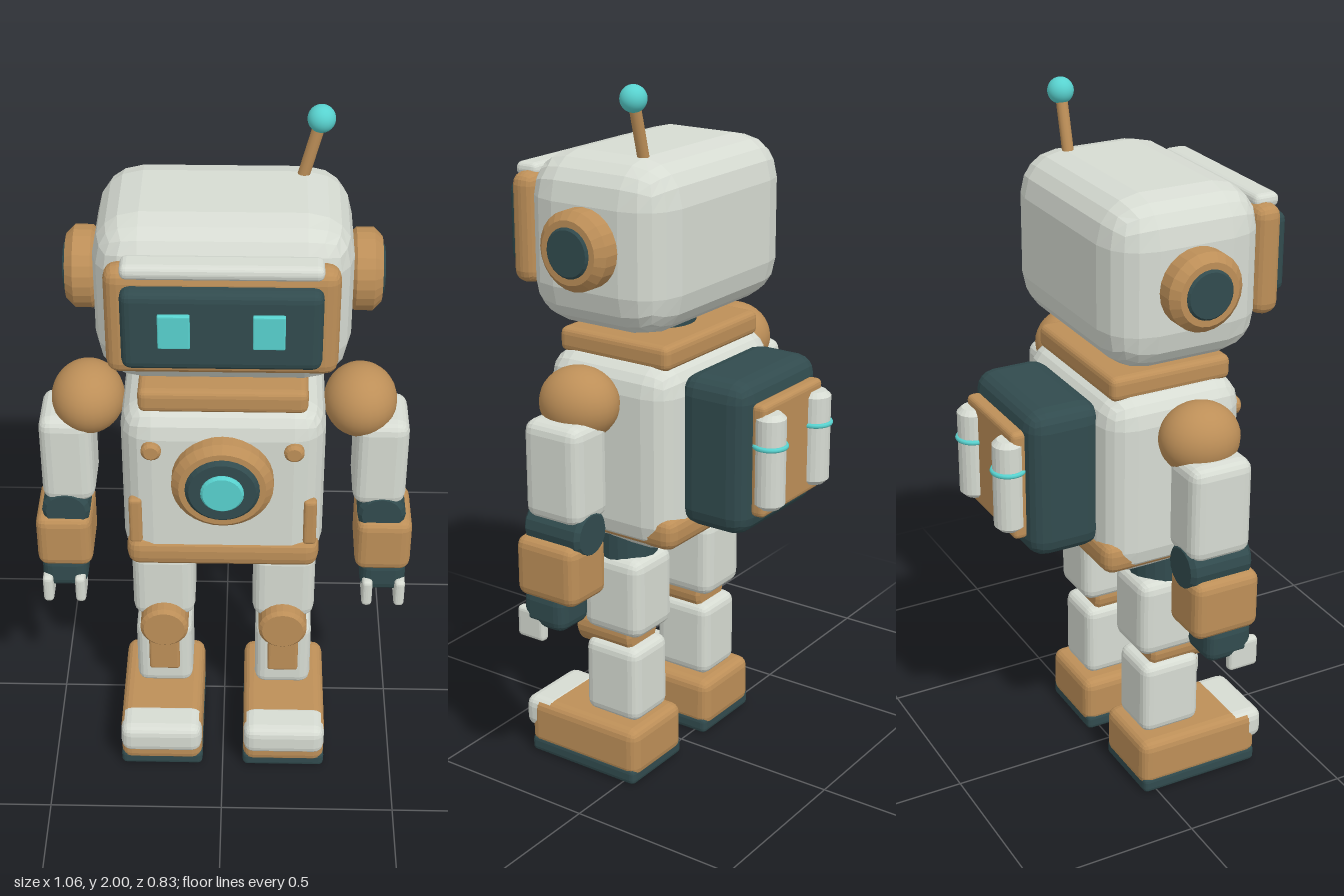
import * as THREE from 'three';
import { RoundedBoxGeometry } from 'three/addons/geometries/RoundedBoxGeometry.js';

const material = (name, color) => {
  const m = new THREE.MeshStandardMaterial({ color });
  m.name = name;
  return m;
};

export function createModel() {
  const robot = new THREE.Group();
  robot.name = 'robot';
  const shell = material('pale shell', 0xd6dbd2);
  const copper = material('copper', 0xbd8f58);
  const dark = material('dark teal', 0x314b4e);
  const glow = material('cyan glow', 0x58d2cf);

  const add = (parent, name, geo, mat, x, y, z) => {
    const mesh = new THREE.Mesh(geo, mat);
    mesh.name = name;
    mesh.position.set(x, y, z);
    parent.add(mesh);
    return mesh;
  };

  // Faceted box with bevelled edges, given by its size and centre
  const box = (parent, name, mat, [w, h, d], [x, y, z], r = 0.02) => {
    const geo = new RoundedBoxGeometry(w, h, d, 2, r);
    geo.computeVertexNormals();
    return add(parent, name, geo, mat, x, y, z);
  };

  // Faceted cylinder with bevelled rims, lying along the chosen axis
  const disc = (parent, name, mat, r, h, axis, [x, y, z], bevel = 0.01, sides = 24) => {
    const a = h / 2;
    const profile = [[0, -a], [r - bevel, -a], [r, bevel - a], [r, a - bevel], [r - bevel, a], [0, a]];
    const geo = new THREE.LatheGeometry(profile.map(p => new THREE.Vector2(...p)), sides).toNonIndexed();
    geo.computeVertexNormals();
    if (axis === 'x') geo.rotateZ(Math.PI / 2);
    if (axis === 'z') geo.rotateX(Math.PI / 2);
    return add(parent, name, geo, mat, x, y, z);
  };

  const ball = (parent, name, mat, r, [x, y, z]) =>
    add(parent, name, new THREE.SphereGeometry(r, 28, 18), mat, x, y, z);

  const group = name => {
    const g = new THREE.Group();
    g.name = name;
    robot.add(g);
    return g;
  };

  // Head with framed screen and brow
  const head = group('head');
  box(head, 'headShell', shell, [0.66, 0.47, 0.455], [0, 1.575, 0.077], 0.12);
  box(head, 'faceFrame', copper, [0.585, 0.305, 0.08], [0, 1.588, 0.322], 0.035);
  box(head, 'screen', dark, [0.5, 0.225, 0.08], [0, 1.59, 0.361], 0.025);
  box(head, 'brow', shell, [0.5, 0.04, 0.075], [0, 1.74, 0.336], 0.018);
  disc(head, 'neck', dark, 0.1, 0.12, 'y', [0, 1.33, 0.07]);

  // Antenna
  const foot = new THREE.Vector3(0.195, 1.78, -0.022);
  const tip = new THREE.Vector3(0.243, 1.964, -0.022);
  add(head, 'antennaRod', new THREE.TubeGeometry(new THREE.LineCurve3(foot, tip), 1, 0.016, 12), copper, 0, 0, 0);
  ball(head, 'antennaBall', glow, 0.036, tip.toArray());

  // Torso with collar, belt and chest lamp
  const torso = group('torso');
  box(torso, 'torsoShell', shell, [0.55, 0.54, 0.425], [0, 0.99, 0.07], 0.085);
  box(torso, 'collar', copper, [0.45, 0.07, 0.365], [0, 1.277, 0.072], 0.02);
  box(torso, 'belt', copper, [0.53, 0.095, 0.44], [0, 0.788, 0.07], 0.035);
  disc(torso, 'chestRing', copper, 0.137, 0.075, 'z', [0, 1.053, 0.297], 0.02, 32);
  disc(torso, 'chestLampRim', dark, 0.1, 0.05, 'z', [0, 1.053, 0.321], 0.01, 32);
  disc(torso, 'chestLamp', glow, 0.058, 0.03, 'z', [0, 1.053, 0.342], 0.006, 28);

  // Backpack with panel
  const pack = group('backpack');
  box(pack, 'packBody', dark, [0.39, 0.435, 0.22], [0, 1.018, -0.225], 0.055);
  box(pack, 'packPanel', copper, [0.3, 0.32, 0.045], [0, 1.02, -0.348], 0.015);

  // Everything that comes in left and right pairs
  for (const s of [1, -1]) {
    const side = s > 0 ? 'left' : 'right';
    box(head, side + 'Eye', glow, [0.08, 0.095, 0.025], [s * 0.117, 1.6, 0.4], 0.004);
    disc(head, side + 'Ear', copper, 0.108, 0.09, 'x', [s * 0.363, 1.583, 0.07], 0.022);
    disc(head, side + 'EarCap', dark, 0.068, 0.04, 'x', [s * 0.395, 1.583, 0.07], 0.006);

    disc(torso, side + 'ChestBolt', copper, 0.027, 0.03, 'z', [s * 0.19, 1.145, 0.285], 0.008, 16);
    box(torso, side + 'ChestStrip', copper, [0.036, 0.15, 0.03], [s * 0.238, 0.9, 0.27], 0.01);

    disc(pack, side + 'Tank', shell, 0.043, 0.27, 'y', [s * 0.115, 1.02, -0.368], 0.014, 20);
    const band = new THREE.TorusGeometry(0.043, 0.007, 8, 28).rotateX(Math.PI / 2);
    add(pack, side + 'TankBand', band, glow, s * 0.115, 1.063, -0.368);

    // Arm
    const arm = group(side + 'Arm');
    ball(arm, 'shoulder', copper, 0.1, [s * 0.372, 1.17, 0.07]).scale.z = 1.12;
    box(arm, 'upperArm', shell, [0.148, 0.28, 0.185], [s * 0.433, 1.003, 0.072], 0.035);
    disc(arm, 'elbow', dark, 0.068, 0.187, 'z', [s * 0.443, 0.835, 0.072], 0.012, 16);
    box(arm, 'forearm', copper, [0.158, 0.175, 0.2], [s * 0.453, 0.728, 0.08], 0.03);
    box(arm, 'hand', dark, [0.13, 0.11, 0.14], [s * 0.458, 0.608, 0.096], 0.03);
    for (const x of [0.414, 0.507])
      box(arm, 'finger', shell, [0.03, 0.09, 0.09], [s * x, 0.558, 0.14], 0.012);

    // Leg
    const leg = group(side + 'Leg');
    disc(leg, 'hip', dark, 0.088, 0.16, 'y', [s * 0.165, 0.725, 0.07], 0.025, 20);
    box(leg, 'thigh', shell, [0.18, 0.24, 0.2], [s * 0.174, 0.56, 0.065], 0.035);
    disc(leg, 'knee', copper, 0.07, 0.195, 'z', [s * 0.173, 0.43, 0.108], 0.01);
    box(leg, 'shin', shell, [0.165, 0.23, 0.185], [s * 0.176, 0.288, 0.07], 0.03);
    box(leg, 'shinPlate', copper, [0.09, 0.125, 0.03], [s * 0.176, 0.305, 0.16], 0.008);
    box(leg, 'foot', copper, [0.24, 0.15, 0.385], [s * 0.181, 0.095, 0.145], 0.03);
    box(leg, 'toeCap', shell, [0.238, 0.098, 0.12], [s * 0.181, 0.122, 0.3], 0.03);
    box(leg, 'sole', dark, [0.242, 0.05, 0.375], [s * 0.181, 0.025, 0.145], 0.015);
  }
  return robot;
}
